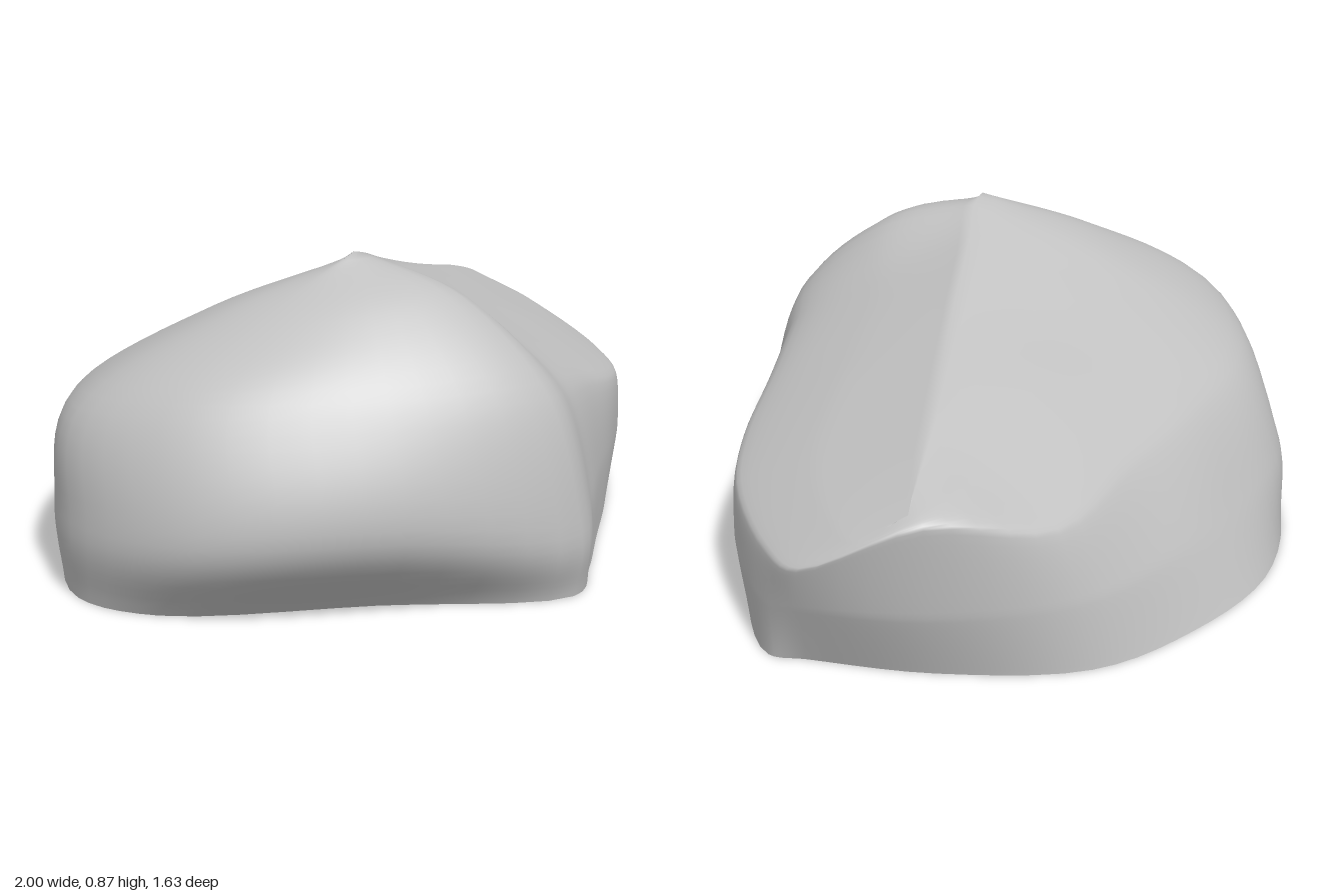
import * as THREE from 'three';
import { mergeVertices } from 'three/addons/utils/BufferGeometryUtils.js';

// Each ring holds 16 points [x, y, z], from the +x tip round the front (+z),
// the -x end and the back.
const base = [
  [0.87, 0, 0.02], [0.9, 0, 0.12], [0.69, 0, 0.34], [0.48, 0, 0.475],
  [0.25, 0, 0.6], [0.05, 0, 0.71], [-0.13, 0, 0.785], [-0.5, 0, 0.43],
  [-0.9, 0, 0.04], [-0.95, 0, -0.2], [-0.74, 0, -0.48], [-0.5, 0, -0.69],
  [-0.12, 0, -0.815], [0.24, 0, -0.77], [0.54, 0, -0.635], [0.76, 0, -0.3],
];
const belly = [
  [0.95, 0.2, -0.02], [0.92, 0.17, 0.11], [0.7, 0.18, 0.365], [0.49, 0.2, 0.49],
  [0.25, 0.22, 0.605], [0.05, 0.22, 0.71], [-0.14, 0.18, 0.81], [-0.6, 0.24, 0.6],
  [-0.95, 0.24, 0.23], [-0.985, 0.22, -0.18], [-0.745, 0.2, -0.49], [-0.5, 0.2, -0.68],
  [-0.12, 0.2, -0.72], [0.22, 0.2, -0.7], [0.56, 0.2, -0.61], [0.83, 0.2, -0.32],
];
const shoulder = [
  [0.995, 0.34, -0.05], [0.93, 0.33, 0.09], [0.69, 0.345, 0.355], [0.49, 0.385, 0.47],
  [0.25, 0.45, 0.55], [0.02, 0.5, 0.64], [-0.18, 0.54, 0.725], [-0.57, 0.55, 0.53],
  [-0.88, 0.54, 0.15], [-0.9, 0.5, -0.22], [-0.7, 0.47, -0.44], [-0.45, 0.46, -0.55],
  [-0.15, 0.45, -0.57], [0.2, 0.43, -0.56], [0.58, 0.4, -0.55], [0.87, 0.47, -0.34],
];
const slope = [
  [0.94, 0.43, -0.19], [0.88, 0.43, -0.08], [0.67, 0.46, 0.12], [0.43, 0.53, 0.22],
  [0.18, 0.6, 0.31], [-0.04, 0.67, 0.4], [-0.22, 0.77, 0.475], [-0.46, 0.755, 0.38],
  [-0.64, 0.715, 0.15], [-0.61, 0.715, -0.02], [-0.48, 0.695, -0.14], [-0.3, 0.66, -0.2],
  [-0.05, 0.62, -0.24], [0.22, 0.59, -0.28], [0.56, 0.52, -0.34], [0.85, 0.495, -0.32],
];
// Crest line from the low tip to the peak; the top ring runs along it and back.
const crest = [
  [0.86, 0.495, -0.29], [0.79, 0.52, -0.26], [0.6, 0.58, -0.18], [0.35, 0.65, -0.07],
  [0.1, 0.725, 0.04], [-0.13, 0.8, 0.135], [-0.27, 0.85, 0.2], [-0.31, 0.862, 0.21],
  [-0.33, 0.866, 0.21],
];
const crestRing = [...crest, ...crest.slice(1, 8).reverse()];

const AROUND = 80;
const UP = 32;
const toVectors = (points) => points.map((p) => new THREE.Vector3(...p));

function buildGeometry(positions, indices) {
  const geometry = new THREE.BufferGeometry();
  geometry.setAttribute('position', new THREE.Float32BufferAttribute(positions, 3));
  geometry.setIndex(indices);
  return geometry;
}

export function createModel() {
  const group = new THREE.Group();
  group.name = 'boulder';
  const stone = new THREE.MeshStandardMaterial({ color: 0xc2c2c2 });
  stone.name = 'grey stone';

  // Skin lofted through the rings: tight creases at the tip, rounder at the -x end
  const rings = [base, belly, shoulder, slope, crestRing].map(
    (ring) => new THREE.CatmullRomCurve3(toVectors(ring), true, 'centripetal'));
  const positions = [];
  const rim = [];
  for (let i = 0; i < AROUND; i++) {
    const roundness = 0.34 - 0.18 * Math.cos((i / AROUND) * Math.PI * 2);
    const column = new THREE.CatmullRomCurve3(
      rings.map((ring) => ring.getPoint(i / AROUND)), false, 'catmullrom', roundness);
    for (let j = 0; j <= UP; j++) {
      const p = column.getPoint(j / UP);
      positions.push(p.x, Math.max(0, p.y), p.z);
      if (j === 0) rim.push(p);
    }
  }
  const indices = [];
  for (let i = 0; i < AROUND; i++) {
    for (let j = 0; j < UP; j++) {
      const a = i * (UP + 1) + j;
      const b = ((i + 1) % AROUND) * (UP + 1) + j;
      indices.push(a, a + 1, b, b, a + 1, b + 1);
    }
  }
  // Weld the two sides along the crest so the shading is continuous
  const skin = mergeVertices(buildGeometry(positions, indices), 1e-4);
  skin.computeVertexNormals();
  const body = new THREE.Mesh(skin, stone);
  body.name = 'rockBody';

  // Flat underside with its own crisp edge
  const floor = [0, 0, 0];
  const fan = [];
  rim.forEach((p, i) => {
    floor.push(p.x, 0, p.z);
    fan.push(0, i + 1, ((i + 1) % AROUND) + 1);
  });
  const bottom = buildGeometry(floor, fan);
  bottom.computeVertexNormals();
  const underside = new THREE.Mesh(bottom, stone);
  underside.name = 'underside';

  group.add(body, underside);
  return group;
}
